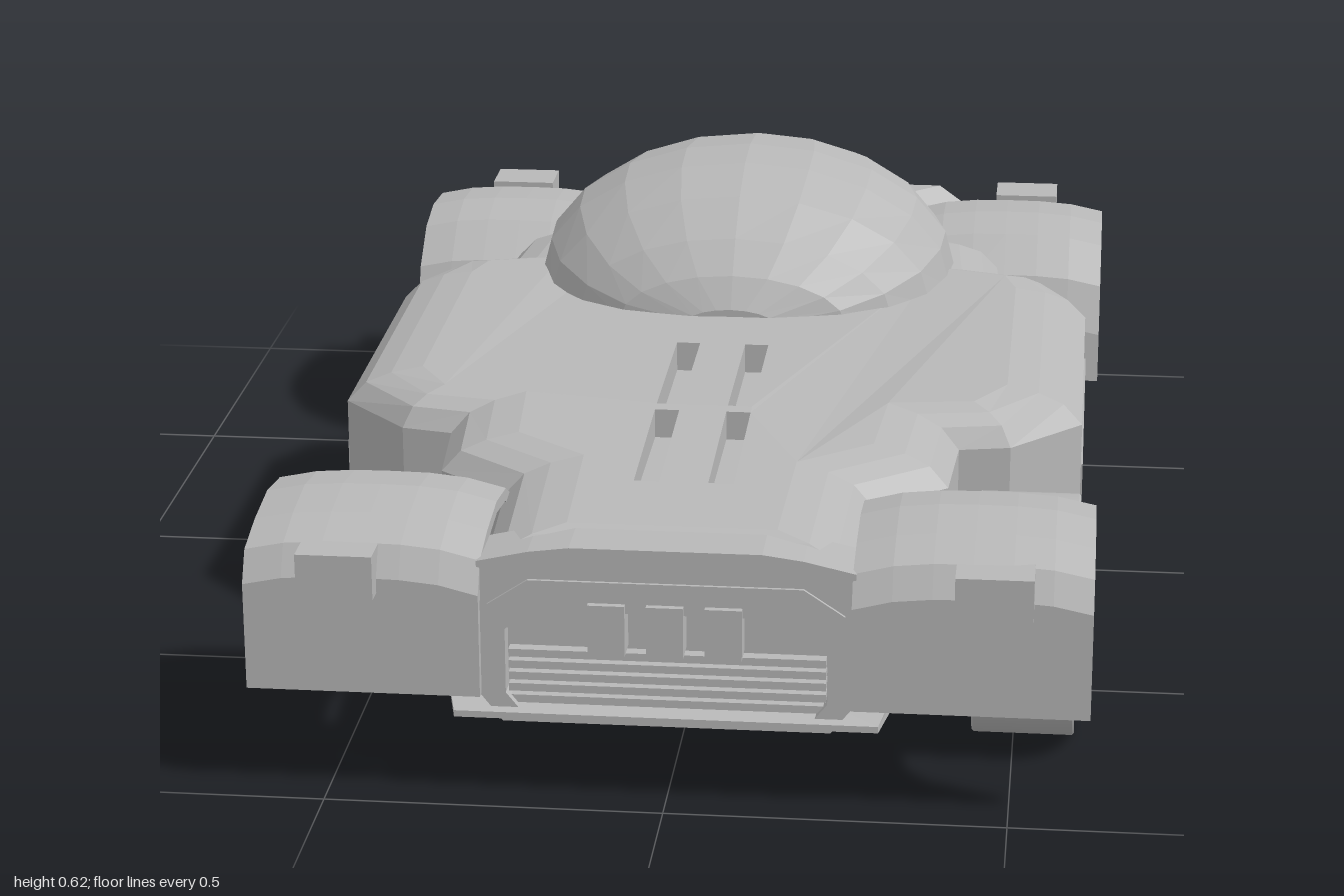
import * as THREE from 'three';
import { toCreasedNormals } from 'three/addons/utils/BufferGeometryUtils.js';

const grey = new THREE.MeshStandardMaterial({ color: 0xb8b8b8 });

function add(parent, geometry, name) {
  const mesh = new THREE.Mesh(geometry, grey);
  mesh.name = name;
  parent.add(mesh);
  return mesh;
}

function box(parent, name, x0, x1, y0, y1, z0, z1) {
  const mesh = add(parent, new THREE.BoxGeometry(x1 - x0, y1 - y0, z1 - z0), name);
  mesh.position.set((x0 + x1) / 2, (y0 + y1) / 2, (z0 + z1) / 2);
}

// Flat-shaded skin over a stack of closed rings; flat() projects the end caps,
// and holes are clockwise loops sunk into the last cap.
function loft(rings, flat, holes = []) {
  const out = [];
  const tri = (...p) => p.forEach(v => out.push(v.x, v.y, v.z));
  const wall = (lo, hi) => lo.forEach((v, i) => {
    const j = (i + 1) % lo.length;
    tri(v, lo[j], hi[j]);
    tri(v, hi[j], hi[i]);
  });
  for (let r = 0; r + 1 < rings.length; r++) wall(rings[r], rings[r + 1]);
  for (const h of holes) wall(h.map(v => new THREE.Vector3(v.x, v.y - 0.05, v.z)), h);
  const cap = (ring, cuts, flip) => {
    const all = [ring, ...cuts].flat();
    const faces = THREE.ShapeUtils.triangulateShape(ring.map(flat), cuts.map(c => c.map(flat)));
    for (const [a, b, c] of faces) flip ? tri(all[a], all[c], all[b]) : tri(all[a], all[b], all[c]);
  };
  cap(rings[0], [], true);
  cap(rings[rings.length - 1], holes, false);
  const g = new THREE.BufferGeometry();
  g.setAttribute('position', new THREE.Float32BufferAttribute(out, 3));
  g.computeVertexNormals();
  return g;
}

// Heights of the deck, the floor and the sill along the car
const deckY = z => 0.416 - 0.045 * Math.max(0, Math.abs(z) - 0.38);
const floorY = z => 0.08 + 0.06 * Math.max(0, Math.abs(z) - 0.4);
const sillY = z => 0.19 - 0.055 * THREE.MathUtils.clamp((z - 0.6) / 0.3, 0, 1);
const plan = p => new THREE.Vector2(p.x, -p.z);
const elevation = p => new THREE.Vector2(p.x, p.y);
const mirrored = half => [...half, ...half.map(([x, v]) => [-x, v]).reverse()];

// Plan outline from one half, moved inwards by inset
function outlineRing(half, inset, height) {
  const pts = mirrored(half);
  const n = pts.length;
  return pts.map(([x, z], i) => {
    const [px, pz] = pts[(i + n - 1) % n], [qx, qz] = pts[(i + 1) % n];
    const a = new THREE.Vector2(z - pz, px - x).normalize();
    const b = new THREE.Vector2(qz - z, x - qx).normalize();
    const k = inset / (1 + a.dot(b));
    const nz = z + (a.y + b.y) * k * 0.5;
    return new THREE.Vector3(x + (a.x + b.x) * k, height(nz), nz);
  });
}

// Polygon plate in the xy plane with optional holes, mirrored from its +x half
function frame(half, holes, z0, depth) {
  const full = h => mirrored(h).map(p => new THREE.Vector2(...p));
  const shape = new THREE.Shape(full(half));
  holes.forEach(h => shape.holes.push(new THREE.Path(full(h))));
  return new THREE.ExtrudeGeometry(shape, { depth, bevelEnabled: false }).translate(0, 0, z0);
}

// Thin wheel arch: profile points are [z, y], from front to back
function arch(profile, x0) {
  const mid = profile.reduce((s, p) => s + p[0], 0) / profile.length;
  const inner = profile.map(([z, y]) => [mid + (z - mid) * 0.92, y > 0.17 ? y - 0.018 : y]).reverse();
  const shape = new THREE.Shape([...profile, ...inner].map(([z, y]) => new THREE.Vector2(-z, y)));
  const g = new THREE.ExtrudeGeometry(shape, { depth: 0.345, steps: 6, bevelEnabled: false });
  g.rotateY(Math.PI / 2).translate(x0, 0, 0);
  const p = g.attributes.position;
  for (let i = 0; i < p.count; i++) {
    const off = Math.abs(Math.abs(p.getX(i)) - 0.45) / 0.17;
    if (p.getY(i) > 0.25) p.setY(i, p.getY(i) - 0.018 * off ** 3);
  }
  g.computeVertexNormals();
  return g;
}

export function createModel() {
  const car = new THREE.Group();
  car.name = 'car';

  // Lower tub, seam band and upper body
  const middle = [[0.4, 0.41], [0.48, 0.395], [0.59, 0.28], [0.59, -0.26], [0.53, -0.36], [0.44, -0.39], [0.43, -0.55]];
  const tub = [[0.31, 0.965], [0.4, 0.6], ...middle, [0.38, -0.8], [0.33, -0.94]];
  const body = [[0.27, 0.92], [0.28, 0.64], [0.39, 0.56], ...middle, [0.29, -0.66], [0.27, -0.92]];
  add(car, loft([
    outlineRing(tub, 0.06, floorY), outlineRing(tub, 0.025, z => floorY(z) + 0.01),
    outlineRing(tub, 0, z => sillY(z) - 0.01 - 0.02 * (z < 0.6)), outlineRing(tub, 0, sillY)], plan), 'lowerTub');
  add(car, loft([outlineRing(body, 0.02, () => 0.13), outlineRing(body, 0.02, () => 0.215)], plan), 'seamBand');

  const slots = [];
  for (const x of [-0.056, 0.056]) for (const [z0, z1] of [[0.1, 0.395], [0.42, 0.7]])
    slots.push([[-1, z0], [1, z0], [1, z1], [-1, z1]]
      .map(([s, z]) => new THREE.Vector3(x + s * 0.019, deckY(z), z)));
  add(car, loft([
    outlineRing(body, 0, () => 0.206), outlineRing(body, 0, z => deckY(z) - 0.055),
    outlineRing(body, 0.03, z => deckY(z) - 0.024), outlineRing(body, 0.07, z => deckY(z) - 0.009),
    outlineRing(body, 0.12, deckY)], plan, slots), 'upperBody');
  box(car, 'slotFloor', -0.1, 0.1, 0.35, 0.368, 0.05, 0.75);

  // Raised side panels
  for (const s of [-1, 1])
    box(car, 'sidePanel', s * 0.588 - 0.005, s * 0.588 + 0.005, 0.215, 0.29, -0.25, 0.27);

  // Nose with grille
  add(car, frame(
    [[0.24, 0.115], [0.275, 0.16], [0.275, 0.365], [0.2, 0.382], [0.14, 0.39]],
    [[[0.215, 0.135], [0.235, 0.16], [0.235, 0.26], [0.2, 0.292]]], 0.85, 0.1), 'noseFrame');
  add(car, frame([[0.235, 0.293], [0.26, 0.3], [0.2, 0.34]], [], 0.945, 0.01), 'noseBrow');
  for (let i = 0; i < 5; i++)
    box(car, 'grilleSlat', -0.232, 0.232, 0.14 + i * 0.018, 0.152 + i * 0.018, 0.89, 0.938);
  for (const x of [-0.085, 0, 0.085])
    box(car, 'grilleTooth', x - 0.027, x + 0.027, 0.23, 0.308, 0.89, 0.965);

  // Tail with recessed panel, vents and under-fins
  const tailRing = (z, sx, sy) =>
    mirrored([[0.3, 0.12], [0.39, 0.19], [0.39, 0.33], [0.31, 0.388]])
      .map(([x, y]) => new THREE.Vector3(x * sx, 0.26 + (y - 0.26) * sy, z));
  add(car, loft([tailRing(-0.97, 0.84, 0.8), tailRing(-0.94, 1, 1), tailRing(-0.86, 0.72, 1)], elevation), 'tailBlock');
  add(car, frame(
    [[0.3, 0.2], [0.32, 0.22], [0.32, 0.32], [0.3, 0.34]],
    [[[0.2, 0.235], [0.2, 0.305]]], -0.99, 0.03), 'tailPanel');
  box(car, 'tailBar', -0.15, 0.15, 0.255, 0.285, -0.982, -0.96);
  for (const s of [-1, 1]) for (let i = 0; i < 4; i++)
    box(car, 'tailVent', s * 0.285 - 0.04, s * 0.285 + 0.04, 0.225 + i * 0.026, 0.24 + i * 0.026, -1, -0.97);
  for (let i = 0; i < 9; i++) {
    const x = -0.28 + i * 0.07;
    box(car, 'tailFin', x - 0.012, x + 0.012, 0.112, 0.175, -0.97, -0.9);
  }

  // Wheel arches and lamps
  const front = [[0.97, 0.16], [0.97, 0.34], [0.945, 0.385], [0.87, 0.403], [0.78, 0.413],
    [0.69, 0.4], [0.62, 0.36], [0.565, 0.28], [0.54, 0.16]];
  const rear = [[-0.505, 0.16], [-0.515, 0.26], [-0.55, 0.34], [-0.62, 0.395], [-0.7, 0.413],
    [-0.8, 0.405], [-0.89, 0.375], [-0.93, 0.31], [-0.94, 0.16]];
  for (const s of [-1, 1]) {
    const x0 = s > 0 ? 0.27 : -0.615;
    add(car, arch(front, x0), 'frontFender');
    add(car, arch(rear, x0), 'rearFender');
    box(car, 'headlight', s * 0.474 - 0.056, s * 0.474 + 0.056, 0.318, 0.385, 0.91, 1);
    box(car, 'tailLamp', s * 0.474 - 0.056, s * 0.474 + 0.056, 0.325, 0.39, -0.965, -0.88);
  }

  // Egg-shaped canopy: [z, half width, height], from back to front
  const canopy = [[-0.97, 0.05, 0.01], [-0.95, 0.1, 0.03], [-0.88, 0.165, 0.07], [-0.78, 0.225, 0.115],
    [-0.65, 0.285, 0.165], [-0.52, 0.333, 0.202], [-0.4, 0.36, 0.217], [-0.3, 0.355, 0.211],
    [-0.2, 0.325, 0.18], [-0.12, 0.265, 0.13], [-0.07, 0.19, 0.08], [-0.04, 0.08, 0.03]];
  add(car, loft(canopy.map(([z, w, h]) => Array.from({ length: 20 }, (_, i) => {
    const a = i * Math.PI / 10, s = Math.sin(a);
    return new THREE.Vector3(w * Math.cos(a), 0.398 + (s > 0 ? h : 0.025) * s, z);
  })), elevation), 'canopy');

  // Single front wheel with dished rim
  const profile = [[0, -0.02], [0.05, -0.02], [0.1, -0.04], [0.13, -0.075], [0.18, -0.077], [0.183, -0.074],
    [0.183, 0.074], [0.18, 0.077], [0.13, 0.075], [0.118, 0.04], [0.09, 0.02], [0.07, 0.035],
    [0.05, 0.035], [0.045, 0.05], [0.012, 0.05], [0.012, 0.06], [0, 0.06]];
  const lathe = new THREE.LatheGeometry(profile.map(p => new THREE.Vector2(...p)), 28).rotateZ(-Math.PI / 2);
  add(car, toCreasedNormals(lathe, 0.5), 'frontWheel').position.set(0.515, 0.183, 0.63);

  return car;
}
